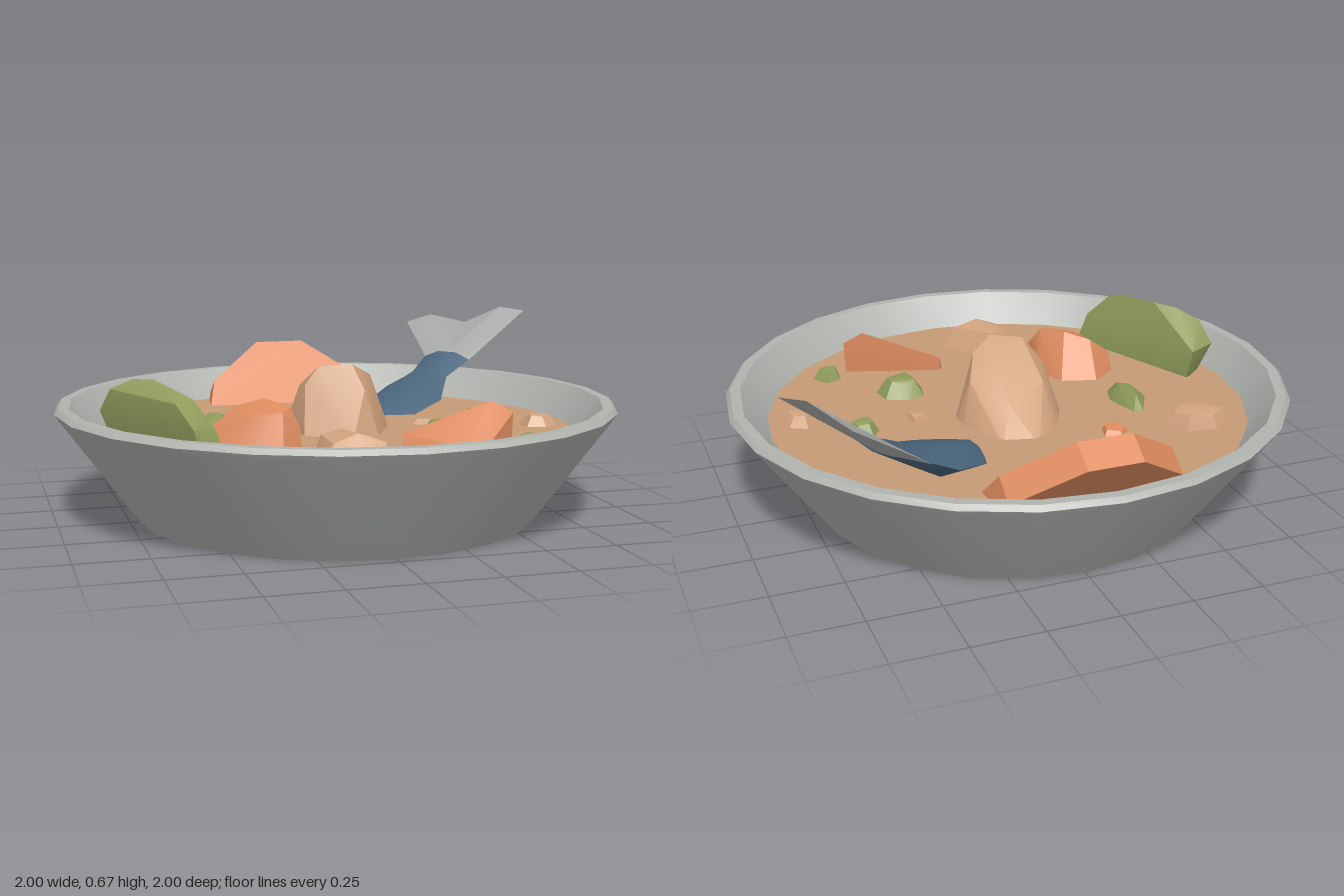
import * as THREE from 'three';
import { toCreasedNormals } from 'three/addons/utils/BufferGeometryUtils.js';
import { ConvexGeometry } from 'three/addons/geometries/ConvexGeometry.js';

const SOUP_Y = 0.3;

function material(name, color, side = THREE.FrontSide) {
  const m = new THREE.MeshStandardMaterial({ color, side });
  m.name = name;
  return m;
}

function createMesh(name, geometry, mat, crease = 0.6) {
  const mesh = new THREE.Mesh(toCreasedNormals(geometry, crease), mat);
  mesh.name = name;
  return mesh;
}

// Convex food chunk: outline [x, z] sunk just under the soup, plus upper points [x, y, z]
function chunk(name, mat, outline, upper) {
  const pts = outline.map(([x, z]) => new THREE.Vector3(x, SOUP_Y - 0.02, z));
  upper.forEach((p) => pts.push(new THREE.Vector3(...p)));
  return createMesh(name, new ConvexGeometry(pts), mat, 0.55);
}

// Low chunk whose top is its own outline, shrunk and raised
function lowChunk(name, mat, outline, height, shrink = 0.5) {
  const cx = outline.reduce((s, p) => s + p[0], 0) / outline.length;
  const cz = outline.reduce((s, p) => s + p[1], 0) / outline.length;
  const upper = outline.map(([x, z], i) => [
    cx + (x - cx) * shrink, SOUP_Y + height * (i % 2 ? 0.85 : 1), cz + (z - cz) * shrink]);
  return chunk(name, mat, outline, upper);
}

// Uneven ring of points for small pieces
function roundOutline(cx, cz, r, n, turn) {
  return Array.from({ length: n }, (_, i) => {
    const a = turn + (i / n) * Math.PI * 2;
    const k = r * (i % 2 ? 0.9 : 1);
    return [cx + Math.cos(a) * k, cz + Math.sin(a) * k];
  });
}

// Closed loft through rings that each span from a back edge to a front edge
function fishBody(sections) {
  const pos = [], index = [], n = 6;
  sections.forEach(([b, f, t]) => {
    const ring = [[0, 0], [0.3, 1], [0.7, 1], [1, 0], [0.7, -1], [0.3, -1]];
    ring.forEach(([u, v]) => pos.push(
      b[0] + (f[0] - b[0]) * u, b[1] + (f[1] - b[1]) * u + v * t, b[2] + (f[2] - b[2]) * u));
  });
  for (let s = 0; s < sections.length - 1; s++) {
    for (let i = 0; i < n; i++) {
      const a = s * n + i, b = s * n + (i + 1) % n;
      index.push(a, b, a + n, b, b + n, a + n);
    }
  }
  const last = (sections.length - 1) * n;
  for (let i = 1; i < n - 1; i++) {
    index.push(0, i + 1, i, last, last + i, last + i + 1);
  }
  const g = new THREE.BufferGeometry();
  g.setAttribute('position', new THREE.Float32BufferAttribute(pos, 3));
  g.setIndex(index);
  g.computeVertexNormals();
  return g;
}

// Forked fin: a rim of points fanned from a root point above and one below
function tailFin(rim, top, bottom) {
  const pos = [];
  for (let i = 0; i < rim.length - 1; i++) {
    pos.push(...top, ...rim[i + 1], ...rim[i]);
    pos.push(...bottom, ...rim[i], ...rim[i + 1]);
  }
  const g = new THREE.BufferGeometry();
  g.setAttribute('position', new THREE.Float32BufferAttribute(pos, 3));
  g.computeVertexNormals();
  return g;
}

export function createModel() {
  const group = new THREE.Group();
  group.name = 'stewBowl';
  const bowlMat = material('bowl grey', 0xb0b3ae);
  const soupMat = material('soup tan', 0xc69a75);
  const carrotMat = material('carrot orange', 0xde8c60);
  const potatoMat = material('potato beige', 0xd2a37e);
  const greenMat = material('vegetable green', 0x8f9c5c);
  const fishMat = material('fish blue', 0x4a657c, THREE.DoubleSide);
  const finMat = material('fin grey', 0xa9aba9, THREE.DoubleSide);

  // Bowl and soup
  const profile = [[0, 0], [0.715, 0], [0.985, 0.37], [1, 0.393], [0.985, 0.41], [0.95, 0.41],
    [0.86, 0.3], [0.66, 0.05], [0, 0.05]].map(([x, y]) => new THREE.Vector2(x, y));
  group.add(createMesh('bowl', new THREE.LatheGeometry(profile, 24), bowlMat, 0.75));
  const soup = createMesh('soup', new THREE.CircleGeometry(0.862, 24), soupMat);
  soup.rotation.x = -Math.PI / 2;
  soup.position.y = SOUP_Y;
  group.add(soup);

  // Large carrot slice leaning on the back of the bowl
  const slice = [];
  [[-0.34, 0], [-0.31, 0.4], [-0.11, 1], [0.08, 1], [0.29, 0.4], [0.32, 0]].forEach(([x, t]) => {
    const y = 0.3 + 0.225 * t, z = -0.61 - 0.2 * t;
    slice.push([x, y, z], [x, y - 0.06, z - 0.09]);
  });
  group.add(chunk('carrotSlice', carrotMat, [], slice));

  // Carrot pieces
  group.add(chunk('carrotChunk', carrotMat,
    [[-0.5, 0.18], [-0.4, 0.1], [-0.27, 0.14], [-0.21, 0.27], [-0.23, 0.4], [-0.3, 0.44], [-0.42, 0.4], [-0.52, 0.29]],
    [[-0.49, 0.37, 0.21], [-0.41, 0.43, 0.2], [-0.32, 0.46, 0.24], [-0.25, 0.44, 0.32], [-0.29, 0.43, 0.39],
      [-0.4, 0.42, 0.33], [-0.23, 0.38, 0.38]]));
  group.add(chunk('carrotWedge', carrotMat,
    [[0.1, 0.45], [0.12, 0.42], [0.26, 0.62], [0.35, 0.62], [0.46, 0.53]],
    [[0.12, 0.35, 0.42], [0.4, 0.46, 0.5], [0.47, 0.42, 0.52], [0.35, 0.34, 0.62], [0.26, 0.33, 0.62]]));
  group.add(lowChunk('smallCarrot', carrotMat,
    [[-0.33, -0.35], [-0.28, -0.4], [-0.21, -0.37], [-0.23, -0.29], [-0.29, -0.26]], 0.02, 0.6));

  // Potato pieces
  group.add(chunk('largePotato', potatoMat,
    [[-0.1, -0.24], [0, -0.31], [0.12, -0.28], [0.21, -0.12], [0.21, -0.02], [0.11, 0.19], [0, 0.22], [-0.15, 0.13], [-0.17, -0.1]],
    [[-0.08, 0.535, 0.06], [0.03, 0.545, 0.1], [0.11, 0.5, 0.06], [0.16, 0.44, -0.05], [-0.13, 0.46, -0.02],
      [-0.08, 0.44, -0.14], [0.07, 0.4, -0.2], [0.06, 0.46, 0.16], [-0.13, 0.47, 0.06]]));
  group.add(chunk('frontPotato', potatoMat,
    [[-0.24, 0.66], [-0.23, 0.51], [-0.13, 0.45], [-0.01, 0.57], [0.04, 0.66], [-0.02, 0.74], [-0.16, 0.74]],
    [[-0.2, 0.38, 0.53], [-0.12, 0.39, 0.5], [-0.11, 0.4, 0.65], [-0.02, 0.37, 0.66], [-0.19, 0.37, 0.65]]));
  group.add(lowChunk('backPotato', potatoMat,
    [[-0.69, -0.41], [-0.62, -0.45], [-0.5, -0.43], [-0.45, -0.36], [-0.52, -0.29], [-0.65, -0.3]], 0.055, 0.7));
  group.add(lowChunk('sidePotato', potatoMat, roundOutline(0.73, 0.13, 0.085, 6, 0.4), 0.04));
  group.add(lowChunk('potatoSliver', potatoMat, [[0.28, 0], [0.37, -0.04], [0.38, 0.05]], 0.02));

  // Green pieces, the largest leaning on the side of the bowl
  group.add(chunk('greenSlice', greenMat,
    [[-0.73, 0.02], [-0.5, 0.54], [-0.59, 0.57], [-0.8, 0.08]],
    [[-0.85, 0.41, 0.05], [-0.74, 0.41, -0.01], [-0.82, 0.49, 0.1], [-0.75, 0.53, 0.16], [-0.69, 0.535, 0.23],
      [-0.6, 0.5, 0.45], [-0.66, 0.49, 0.48], [-0.62, 0.42, 0.58], [-0.54, 0.41, 0.52]]));
  group.add(chunk('longGreen', greenMat,
    [[-0.53, -0.07], [-0.45, -0.22], [-0.4, -0.22], [-0.36, -0.08], [-0.39, 0.02], [-0.47, 0.03]],
    [[-0.43, 0.35, -0.17], [-0.4, 0.36, -0.08], [-0.46, 0.34, -0.05], [-0.43, 0.33, 0]]));
  [[0.545, -0.025, 0.075, 6, 0.2], [0.32, 0.265, 0.105, 7, 0.3], [0.54, 0.495, 0.07, 5, 0]]
    .forEach(([x, z, r, n, a]) => group.add(lowChunk('smallGreen', greenMat, roundOutline(x, z, r, n, a), r * 0.55)));

  // Fish tail rising out of the soup over the rim
  const rootBack = [0.55, 0.47, -0.6], rootFront = [0.68, 0.47, -0.44];
  const fish = new THREE.Group();
  fish.name = 'fish';
  fish.add(createMesh('fishBody', fishBody([
    [[0.21, 0.29, -0.34], [0.24, 0.29, -0.2], 0.02],
    [[0.24, 0.31, -0.44], [0.37, 0.3, -0.2], 0.04],
    [[0.37, 0.36, -0.55], [0.5, 0.34, -0.27], 0.05],
    [[0.48, 0.41, -0.56], [0.57, 0.41, -0.4], 0.035],
    [rootBack, rootFront, 0.025],
  ]), fishMat, 0.7));
  fish.add(createMesh('tailFin', tailFin([rootBack, [0.575, 0.58, -0.91], [0.66, 0.615, -0.85],
    [0.74, 0.6, -0.65], [0.85, 0.67, -0.54], [0.92, 0.66, -0.46], rootFront],
  [0.615, 0.495, -0.52], [0.615, 0.445, -0.52]), finMat, 0.4));
  group.add(fish);
  return group;
}
